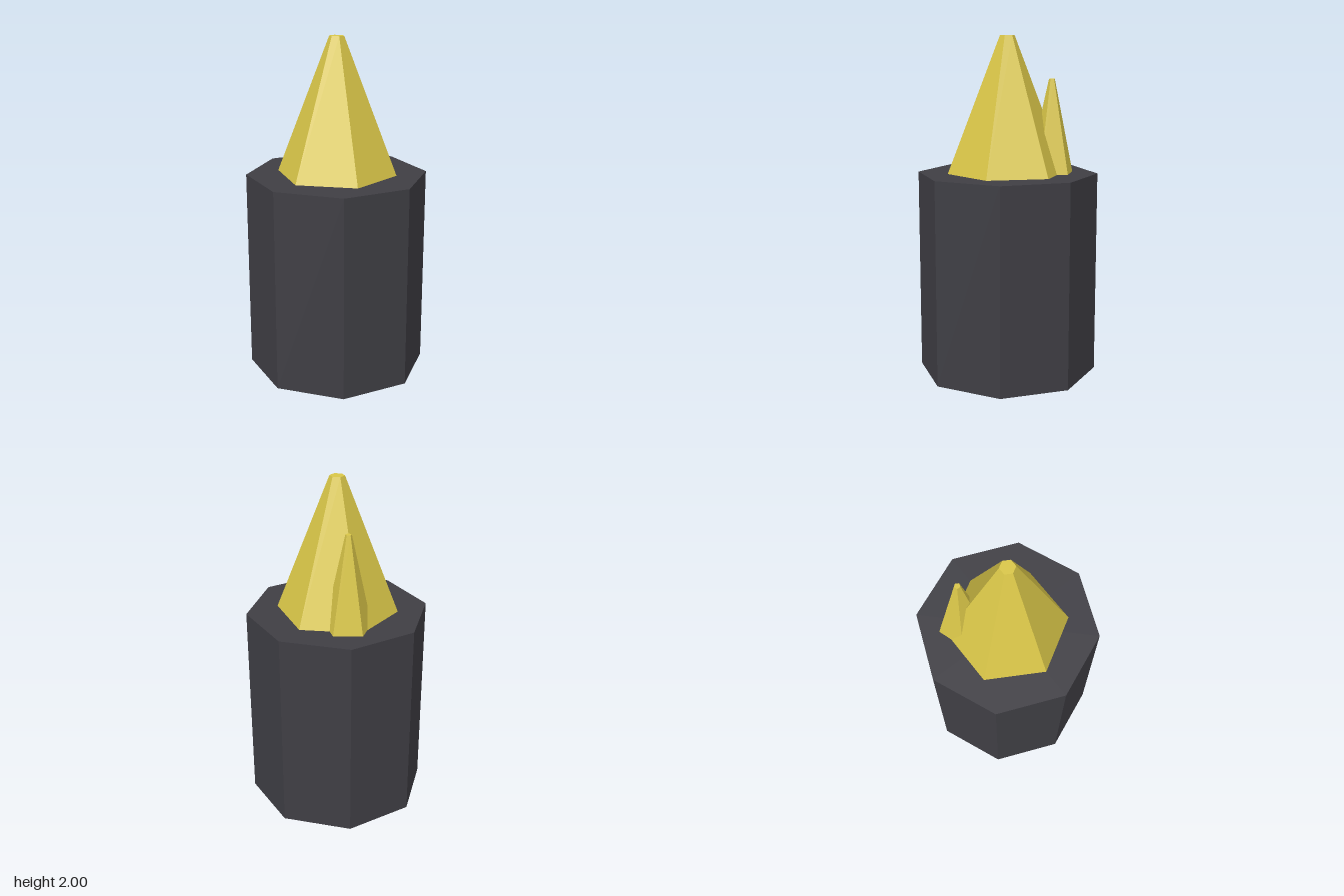
import * as THREE from 'three';

export function createModel() {
  const model = new THREE.Group();
  const charcoal = new THREE.MeshStandardMaterial({ color: 0x3f3e44, flatShading: true });
  charcoal.name = 'charcoal';
  const gold = new THREE.MeshStandardMaterial({ color: 0xd9c648, flatShading: true });
  gold.name = 'gold';

  // Upright tapered prism standing on height y
  function prism(name, material, sides, topRadius, bottomRadius, height, x, y, z) {
    const geometry = new THREE.CylinderGeometry(topRadius, bottomRadius, height, sides);
    const mesh = new THREE.Mesh(geometry, material);
    mesh.name = name;
    mesh.position.set(x, y + height / 2, z);
    model.add(mesh);
    return mesh;
  }

  // Octagonal pedestal
  prism('pedestal', charcoal, 8, 0.532, 0.532, 1.2, 0, 0, 0);
  // Large six-sided crystal
  prism('mainCrystal', gold, 6, 0.043, 0.355, 0.8, 0, 1.2, 0);
  // Small five-sided crystal at the back, one corner pointing backwards
  const small = prism('smallCrystal', gold, 5, 0.018, 0.14, 0.55, -0.2, 1.2, -0.167);
  small.rotation.y = Math.PI;

  return model;
}
